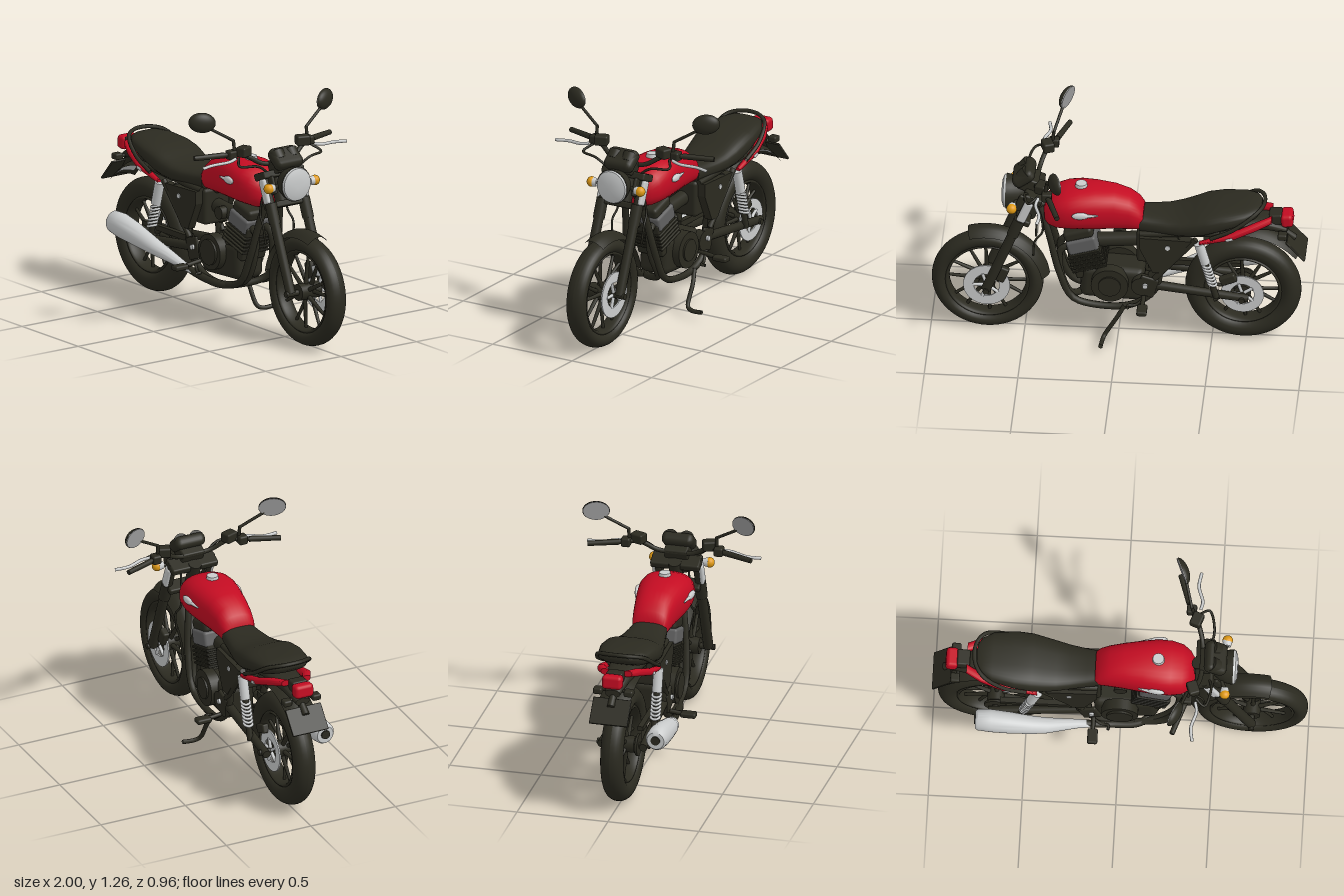
import * as THREE from 'three';
import { toCreasedNormals } from 'three/addons/utils/BufferGeometryUtils.js';
import { RoundedBoxGeometry } from 'three/addons/geometries/RoundedBoxGeometry.js';

const mat = (name, color, side = THREE.FrontSide) => {
  const m = new THREE.MeshStandardMaterial({ color, side });
  m.name = name;
  return m;
};

export function createModel() {
  const root = new THREE.Group();
  root.name = 'motorcycle';
  const black = mat('black', 0x2b2a20, THREE.DoubleSide);
  const red = mat('red', 0xc40c22);
  const silver = mat('silver', 0xcacccc);
  const grey = mat('grey', 0x606060);
  const glass = mat('mirrorGlass', 0x9a9a9a);
  const amber = mat('amber', 0xe09a14);
  const V = (p) => new THREE.Vector3(...p);

  const add = (name, geo, m, pos = [0, 0, 0], rot = [0, 0, 0]) => {
    const mesh = new THREE.Mesh(geo, m);
    mesh.name = name;
    mesh.position.set(...pos);
    mesh.rotation.set(...rot);
    root.add(mesh);
    return mesh;
  };
  const box = (name, m, size, pos, rot, r = 0.01) =>
    add(name, new RoundedBoxGeometry(...size, 2, Math.min(r, ...size.map((s) => s / 2.1))), m, pos, rot);
  const tube = (name, m, pts, r, seg = 28) =>
    add(name, new THREE.TubeGeometry(new THREE.CatmullRomCurve3(pts.map(V)), seg, r, 8), m);
  // straight round bar between two points
  const rod = (name, m, a, b, r1, r2 = r1, sides = 16) => {
    const d = V(b).sub(V(a));
    const mesh = add(name, new THREE.CylinderGeometry(r2, r1, d.length(), sides), m);
    mesh.position.copy(V(a)).addScaledVector(d, 0.5);
    mesh.quaternion.setFromUnitVectors(new THREE.Vector3(0, 1, 0), d.normalize());
    return mesh;
  };
  // disc or drum with its axis along z
  const drum = (name, m, x, y, z, r, w, sides = 32) =>
    add(name, new THREE.CylinderGeometry(r, r, w, sides), m, [x, y, z], [Math.PI / 2, 0, 0]);
  // body along x from sections [x, bottom, top, halfWidth, zCentre]
  const loft = (name, m, sections, n = 2.5, sides = 32) => {
    const first = sections[0], last = sections[sections.length - 1];
    const flat = ([x, b, t, , z]) => [x, (b + t) / 2, (b + t) / 2, 0, z];
    const all = [flat(first), ...sections, flat(last)];
    const pos = [], idx = [];
    const pw = (v) => Math.sign(v) * Math.abs(v) ** (2 / n);
    all.forEach(([x, b, t, w, z = 0], i) => {
      for (let j = 0; j < sides; j++) {
        const a = (j / sides) * Math.PI * 2, k = (j + 1) % sides;
        pos.push(x, (b + t) / 2 + ((t - b) / 2) * pw(Math.cos(a)), z + w * pw(Math.sin(a)));
        if (i < all.length - 1) {
          const p = i * sides + j, q = i * sides + k;
          idx.push(p, q, p + sides, q, q + sides, p + sides);
        }
      }
    });
    const g = new THREE.BufferGeometry();
    g.setAttribute('position', new THREE.Float32BufferAttribute(pos, 3));
    g.setIndex(idx);
    return add(name, toCreasedNormals(g, 0.8), m);
  };
  // flat side panel cut in the xy plane, centred on z
  const plate = (name, m, pts, z, depth) => {
    const g = new THREE.ExtrudeGeometry(new THREE.Shape(pts.map((p) => new THREE.Vector2(...p))),
      { depth, bevelEnabled: false });
    return add(name, g.translate(0, 0, -depth / 2), m, [0, 0, z]);
  };
  const ringProfile = (R, a, b, n = 24) => Array.from({ length: n + 1 }, (_, i) => {
    const t = (i / n) * Math.PI * 2;
    return new THREE.Vector2(R + a * Math.cos(t), b * Math.sin(t));
  });
  const lathe = (name, m, pts, x, y, start = 0, len = Math.PI * 2) =>
    add(name, new THREE.LatheGeometry(pts, 56, start, len), m, [x, y, 0], [Math.PI / 2, 0, 0]);
  const mirrored = (fn) => [1, -1].forEach(fn);

  // Wheels: tyre, rim, split spokes, hub and brake disc
  const wheel = (label, x, y, R, thick, half, discR) => {
    lathe(label + 'Tyre', black, ringProfile(R - thick / 2, thick / 2, half), x, y);
    const rr = R - thick;
    lathe(label + 'Rim', black, ringProfile(rr + 0.005, 0.014, half * 0.75), x, y);
    for (let i = 0; i < 6; i++) {
      const a = (i / 6) * Math.PI * 2 + 0.25;
      mirrored((s) => {
        const b = a + s * 0.22, c = a + s * 0.12;
        rod(label + 'Spoke', black, [x + 0.025 * Math.cos(c), y + 0.025 * Math.sin(c), s * 0.015],
          [x + rr * Math.cos(b), y + rr * Math.sin(b), 0], 0.013, 0.008, 8);
      });
    }
    drum(label + 'Hub', black, x, y, 0, 0.045, 0.13);
    drum(label + 'Axle', black, x, y, 0, 0.016, 0.29);
    const disc = new THREE.Shape().absarc(0, 0, discR, 0, Math.PI * 2);
    disc.holes.push(new THREE.Path().absarc(0, 0, discR * 0.55, 0, Math.PI * 2, true));
    add(label + 'BrakeDisc', new THREE.ExtrudeGeometry(disc, { depth: 0.008, bevelEnabled: false, curveSegments: 32 }),
      silver, [x, y, -0.078]);
    for (let i = 0; i < 5; i++) {
      const a = (i / 5) * Math.PI * 2;
      rod(label + 'DiscArm', silver, [x, y, -0.074], [x + discR * 0.6 * Math.cos(a), y + discR * 0.6 * Math.sin(a), -0.074], 0.009);
    }
  };
  wheel('front', 0.7, 0.305, 0.298, 0.085, 0.058, 0.125);
  wheel('rear', -0.665, 0.32, 0.31, 0.115, 0.062, 0.115);
  box('frontCaliper', black, [0.06, 0.09, 0.04], [0.62, 0.39, -0.085], [0, 0, 0.4]);
  box('rearCaliper', black, [0.09, 0.05, 0.04], [-0.59, 0.42, -0.085], [0, 0, -0.4]);
  drum('rearSprocket', black, -0.665, 0.32, 0.08, 0.06, 0.012);

  // Fenders
  const arch = (R, w, drop) => Array.from({ length: 9 }, (_, i) => {
    const t = (i / 4 - 1);
    return new THREE.Vector2(R - drop * t * t, w * t);
  });
  lathe('frontFender', black, arch(0.335, 0.066, 0.04), 0.7, 0.305, Math.PI / 2 + 1.25, 1.75);
  lathe('rearFender', black, arch(0.40, 0.085, 0.03), -0.665, 0.33, Math.PI / 2 + 1.0, 1.45);
  lathe('rearFenderLining', silver, arch(0.392, 0.06, 0.015).reverse(), -0.665, 0.33, Math.PI / 2 + 1.85, 0.5);
  loft('tailBracket', black, [[-0.9, 0.69, 0.73, 0.04], [-0.8, 0.72, 0.79, 0.07], [-0.6, 0.72, 0.78, 0.09], [-0.4, 0.67, 0.75, 0.09]]);
  box('plateHolder', black, [0.012, 0.15, 0.21], [-0.95, 0.625, 0], [0, 0, -0.72], 0.004);
  rod('plateArm', black, [-0.94, 0.65, 0], [-0.82, 0.74, 0], 0.02);

  // Tank with cap and side trims
  loft('fuelTank', red, [[-0.135, 0.705, 0.81, 0.085], [-0.11, 0.69, 0.85, 0.098], [-0.06, 0.69, 0.89, 0.106], [0.02, 0.69, 0.917, 0.118],
    [0.12, 0.69, 0.927, 0.135], [0.2, 0.69, 0.927, 0.146], [0.27, 0.69, 0.917, 0.145], [0.33, 0.69, 0.895, 0.132],
    [0.37, 0.7, 0.86, 0.105], [0.39, 0.72, 0.825, 0.075], [0.4, 0.75, 0.79, 0.03]], 2.5);
  add('fuelCap', new THREE.CylinderGeometry(0.03, 0.034, 0.025, 24), silver, [0.2, 0.93, 0]);
  mirrored((s) => {
    const trim = add('tankTrim', new THREE.SphereGeometry(0.022, 20, 10), silver, [0.195, 0.828, s * 0.148], [0, s * -0.1, 0]);
    trim.scale.set(2.1, 0.95, 0.62);
    rod('tankTrimTail', silver, [0.1, 0.825, s * 0.134], [0.17, 0.828, s * 0.147], 0.004, 0.011, 8);
  });

  // Seat, grab rail and tail
  loft('seat', black, [[-0.765, 0.84, 0.865, 0.06], [-0.74, 0.815, 0.877, 0.1], [-0.68, 0.785, 0.878, 0.137], [-0.56, 0.745, 0.868, 0.158],
    [-0.47, 0.71, 0.853, 0.158], [-0.41, 0.695, 0.828, 0.15], [-0.34, 0.69, 0.803, 0.138], [-0.27, 0.69, 0.79, 0.122],
    [-0.18, 0.69, 0.79, 0.105], [-0.115, 0.69, 0.795, 0.095]], 2.8);
  tube('grabRail', black, [[-0.5, 0.72, 0.15], [-0.62, 0.785, 0.155], [-0.73, 0.86, 0.12], [-0.775, 0.88, 0.05],
    [-0.775, 0.88, -0.05], [-0.73, 0.86, -0.12], [-0.62, 0.785, -0.155], [-0.5, 0.72, -0.15]], 0.011, 48);
  mirrored((s) => {
    loft('tailPanel', red, [[-0.82, 0.78, 0.815, 0.025, s * 0.06], [-0.74, 0.755, 0.8, 0.025, s * 0.1],
      [-0.62, 0.71, 0.752, 0.02, s * 0.13], [-0.44, 0.668, 0.69, 0.012, s * 0.135]]);
    box('tailFastener', silver, [0.04, 0.018, 0.012], [-0.6, 0.717, s * 0.147], [0, 0, -0.3], 0.005);
  });
  box('tailLightHousing', black, [0.07, 0.06, 0.09], [-0.84, 0.785, 0], [0, 0, -0.1]);
  box('tailLight', red, [0.065, 0.075, 0.11], [-0.9, 0.78, 0], [0, 0, -0.1], 0.02);
  mirrored((s) => {
    rod('rearSignalStalk', black, [-0.86, 0.72, 0], [-0.87, 0.715, s * 0.08], 0.01);
    box('rearSignal', black, [0.05, 0.035, 0.05], [-0.88, 0.715, s * 0.085]);
  });

  // Frame, swingarm, side panels and shocks
  mirrored((s) => {
    tube('cradleTube', black, [[0.42, 0.8, s * 0.03], [0.37, 0.65, s * 0.06], [0.31, 0.42, s * 0.09], [0.24, 0.27, s * 0.1],
      [0.1, 0.225, s * 0.1], [-0.08, 0.24, s * 0.1], [-0.2, 0.34, s * 0.1], [-0.24, 0.52, s * 0.1], [-0.34, 0.68, s * 0.1]], 0.019, 40);
    rod('seatRail', black, [-0.12, 0.69, s * 0.09], [-0.55, 0.73, s * 0.11], 0.018);
    rod('rearStay', black, [-0.2, 0.42, s * 0.11], [-0.42, 0.69, s * 0.12], 0.016);
    plate('sidePanel', black, [[-0.4, 0.68], [-0.12, 0.69], [-0.12, 0.62], [-0.19, 0.47], [-0.25, 0.47]], s * 0.108, 0.045);
    drum('panelBolt', silver, -0.27, 0.635, s * 0.132, 0.014, 0.008, 12);
    rod('swingarm', black, [-0.15, 0.375, s * 0.095], [-0.7, 0.32, s * 0.115], 0.026, 0.022);
    rod('shockCover', silver, [-0.438, 0.675, s * 0.132], [-0.472, 0.55, s * 0.132], 0.027);
    rod('shockRod', black, [-0.46, 0.59, s * 0.13], [-0.53, 0.33, s * 0.13], 0.017);
    for (let i = 0; i < 7; i++) {
      const t = i / 6;
      add('shockCoil', new THREE.TorusGeometry(0.023, 0.0075, 6, 18), silver,
        [-0.476 - 0.032 * t, 0.535 - 0.115 * t, s * 0.132], [Math.PI / 2, 0.26, 0]);
    }
    rod('footPegArm', black, [-0.14, 0.3, s * 0.08], [-0.14, 0.285, s * 0.2], 0.012);
    box('footPeg', black, [0.055, 0.028, 0.085], [-0.14, 0.285, s * 0.22]);
    tube('footLever', black, [[-0.14, 0.29, s * 0.12], [-0.1, 0.26, s * 0.135], [-0.06, 0.26, s * 0.145], [-0.06, 0.26, s * 0.17]], 0.008);
    box('pegBracket', black, [0.1, 0.12, 0.02], [-0.16, 0.37, s * 0.115], [0, 0, 0.3]);
    drum('pivotBolt', silver, -0.15, 0.38, s * 0.128, 0.014, 0.02, 16);
  });
  plate('chainGuard', black, [[-0.2, 0.42], [-0.64, 0.415], [-0.64, 0.39], [-0.2, 0.385]], 0.085, 0.03);
  rod('backbone', black, [0.43, 0.8, 0], [-0.2, 0.68, 0], 0.03);
  box('airBox', black, [0.2, 0.2, 0.17], [-0.2, 0.6, 0], [0, 0, 0], 0.02);

  // Engine
  box('crankcase', black, [0.34, 0.2, 0.18], [0.03, 0.35, 0], [0, 0, 0.05], 0.04);
  drum('clutchCover', black, 0.0, 0.385, 0.1, 0.098, 0.06);
  drum('clutchCoverRing', black, 0.0, 0.385, 0.13, 0.07, 0.025);
  drum('alternatorCover', black, 0.04, 0.37, -0.1, 0.1, 0.06);
  drum('alternatorCap', black, 0.04, 0.37, -0.13, 0.06, 0.02);
  drum('sprocketCover', black, -0.13, 0.37, -0.1, 0.055, 0.05);
  for (let i = 0; i < 5; i++)
    box('coolingFin', black, [0.19, 0.012, 0.18], [0.15 + 0.0065 * i, 0.445 + 0.021 * i, 0], [0, 0, -0.3], 0.004);
  box('cylinder', black, [0.17, 0.2, 0.16], [0.165, 0.49, 0], [0, 0, -0.3]);
  box('cylinderHead', grey, [0.165, 0.085, 0.178], [0.19, 0.587, 0], [0, 0, -0.3], 0.015);
  box('camCover', black, [0.16, 0.06, 0.16], [0.212, 0.65, 0], [0, 0, -0.3], 0.02);
  rod('carburettor', black, [0.12, 0.58, 0], [-0.1, 0.6, 0], 0.04);
  drum('carburettorCap', black, 0.0, 0.59, 0.05, 0.035, 0.04, 16);

  // Exhaust
  mirrored((s) => tube('headerPipe', black, [[0.24, 0.57, s * 0.04], [0.305, 0.54, s * 0.05], [0.31, 0.42, s * 0.06],
    [0.25, 0.28, s * 0.07], [0.12, 0.225, 0.1], [-0.05, 0.23, 0.125], [-0.18, 0.26, 0.14]], 0.02, 40));
  loft('muffler', silver, [[-0.765, 0.35, 0.445, 0.047, 0.2], [-0.75, 0.34, 0.46, 0.057, 0.2], [-0.68, 0.325, 0.46, 0.06, 0.2],
    [-0.58, 0.315, 0.438, 0.057, 0.2], [-0.46, 0.3, 0.402, 0.048, 0.197], [-0.38, 0.287, 0.37, 0.042, 0.187],
    [-0.3, 0.27, 0.335, 0.033, 0.168], [-0.22, 0.252, 0.295, 0.025, 0.148], [-0.13, 0.232, 0.258, 0.018, 0.135]], 2);
  add('mufflerOutlet', new THREE.CylinderGeometry(0.025, 0.025, 0.02, 20), black, [-0.762, 0.4, 0.2], [0, 0, Math.PI / 2]);

  // Side stand
  tube('sideStand', black, [[-0.04, 0.24, -0.115], [0.0, 0.17, -0.13], [0.065, 0.06, -0.14], [0.075, 0.046, -0.17], [0.08, 0.048, -0.235]], 0.012);

  // Fork, silver side covers and steering clamps
  mirrored((s) => {
    const z = s * 0.11;
    rod('forkLower', black, [0.7, 0.305, z], [0.545, 0.7, z], 0.027);
    rod('forkCover', black, [0.56, 0.66, z], [0.52, 0.765, z], 0.032);
    rod('forkTube', black, [0.52, 0.755, z], [0.45, 0.92, z], 0.025);
    box('forkSideCover', silver, [0.05, 0.135, 0.026], [0.492, 0.825, s * 0.127], [0, 0, 0.38], 0.012);
    box('headlightBracket', black, [0.05, 0.1, 0.02], [0.515, 0.86, s * 0.095], [0, 0, 0.38]);
    tube('brakeHose', black, [[0.44, 0.88, s * 0.07], [0.4, 0.68, s * 0.09], [0.44, 0.62, s * 0.1], [0.45, 0.52, s * 0.09]], 0.006);
  });
  box('lowerClamp', black, [0.08, 0.035, 0.24], [0.505, 0.745, 0], [0, 0, 0.38]);
  box('upperClamp', black, [0.1, 0.04, 0.27], [0.45, 0.9, 0], [0, 0, 0.38]);
  rod('steeringHead', black, [0.48, 0.72, 0], [0.41, 0.91, 0], 0.035);

  // Headlight, signals and instruments
  loft('headlightShell', black, [[0.5, 0.82, 0.92, 0.05], [0.53, 0.795, 0.945, 0.075], [0.57, 0.78, 0.96, 0.09], [0.6, 0.775, 0.965, 0.095]], 2);
  loft('headlightLens', silver, [[0.598, 0.778, 0.962, 0.092], [0.612, 0.782, 0.958, 0.088], [0.622, 0.81, 0.93, 0.06], [0.625, 0.85, 0.89, 0.02]], 2);
  mirrored((s) => {
    rod('signalStalk', black, [0.54, 0.86, s * 0.08], [0.56, 0.86, s * 0.125], 0.011);
    rod('signalHousing', silver, [0.56, 0.86, s * 0.118], [0.56, 0.86, s * 0.148], 0.02, 0.027, 20);
    const lens = add('signalLens', new THREE.SphereGeometry(0.028, 20, 14), amber, [0.561, 0.86, s * 0.153]);
    lens.scale.z = 0.95;
  });
  box('instrumentPod', black, [0.13, 0.07, 0.175], [0.505, 0.995, 0], [0, 0, -0.65], 0.03);
  mirrored((s) => rod('gaugeRim', black, [0.51, 0.99, s * 0.044], [0.478, 1.028, s * 0.044], 0.042, 0.042, 24));
  box('instrumentBracket', black, [0.1, 0.08, 0.13], [0.48, 0.95, 0], [0, 0, 0.4]);

  // Handlebar with grips, levers and mirrors
  tube('handlebar', black, [[0.3, 1.017, 0.44], [0.36, 1.022, 0.27], [0.4, 1.015, 0.19], [0.43, 0.965, 0.1], [0.435, 0.955, 0],
    [0.43, 0.965, -0.1], [0.4, 1.015, -0.19], [0.36, 1.022, -0.27], [0.3, 1.017, -0.44]], 0.013, 56);
  mirrored((s) => {
    rod('grip', black, [0.35, 1.022, s * 0.29], [0.295, 1.018, s * 0.45], 0.016, 0.014);
    box('switchBox', black, [0.055, 0.05, 0.05], [0.365, 1.022, s * 0.255]);
    box('fluidReservoir', black, [0.06, 0.055, 0.075], [0.395, 1.038, s * 0.195], [0, s * 0.35, 0]);
    tube('lever', silver, [[0.41, 1.01, s * 0.26], [0.42, 1.002, s * 0.31], [0.395, 0.993, s * 0.4], [0.405, 0.988, s * 0.478]], 0.009);
    tube('cable', black, [[0.41, 1.01, s * 0.24], [0.46, 0.98, s * 0.27], [0.49, 0.97, s * 0.17], [0.47, 0.9, s * 0.07]], 0.007);
    rod('mirrorStemBase', black, [0.375, 1.03, s * 0.24], [0.365, 1.1, s * 0.242], 0.009);
    rod('mirrorStem', black, [0.365, 1.097, s * 0.24], [0.325, 1.18, s * 0.375], 0.008);
    // domed oval head with flat glass facing the rider
    const mirror = new THREE.Group();
    mirror.name = 'mirror';
    const dome = add('mirrorHead', new THREE.SphereGeometry(1, 28, 10, 0, Math.PI * 2, 0, Math.PI / 2).rotateZ(-Math.PI / 2), black);
    dome.scale.set(0.035, 0.055, 0.075);
    const face = add('mirrorGlass', new THREE.CylinderGeometry(1, 1, 1, 28).rotateZ(Math.PI / 2), glass, [-0.002, 0, 0]);
    face.scale.set(0.005, 0.053, 0.073);
    mirror.add(dome, face);
    mirror.position.set(0.305, 1.21, s * 0.405);
    mirror.rotation.set(-s * 0.15, -s * 0.42, 0);
    root.add(mirror);
  });
  return root;
}
